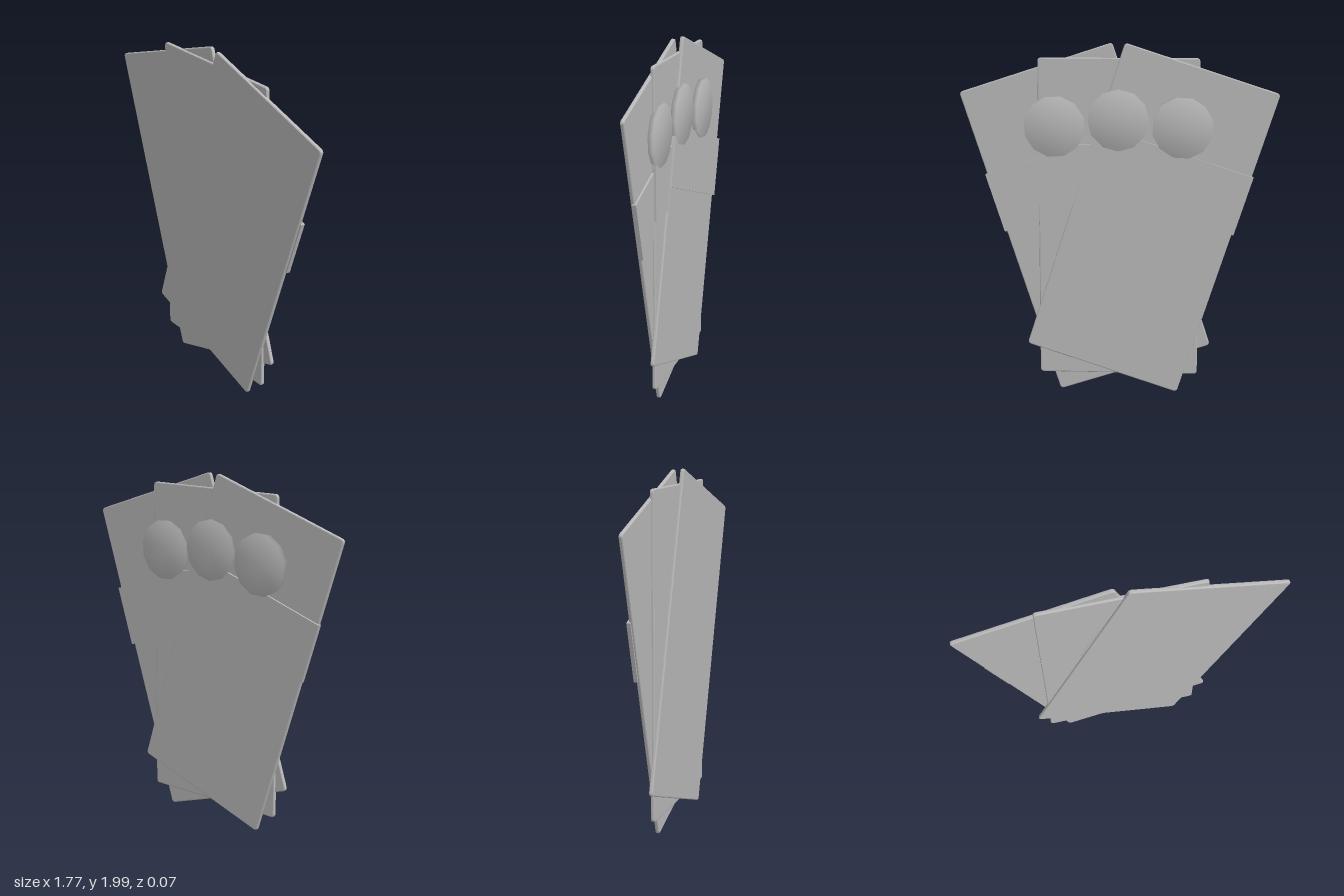
import * as THREE from 'three';
import { mergeVertices } from 'three/addons/utils/BufferGeometryUtils.js';

const grey = new THREE.MeshStandardMaterial({ color: 0xb8b8b8 });
grey.name = 'plain grey';

// Thin slab with rounded corners and a small bevel, centred on the origin
function slabGeometry(width, height, depth, radius, bevel) {
  const w = width / 2 - bevel, h = height / 2 - bevel, r = radius;
  const s = new THREE.Shape();
  s.moveTo(-w + r, -h);
  s.lineTo(w - r, -h);
  s.quadraticCurveTo(w, -h, w, -h + r);
  s.lineTo(w, h - r);
  s.quadraticCurveTo(w, h, w - r, h);
  s.lineTo(-w + r, h);
  s.quadraticCurveTo(-w, h, -w, h - r);
  s.lineTo(-w, -h + r);
  s.quadraticCurveTo(-w, -h, -w + r, -h);
  const g = new THREE.ExtrudeGeometry(s, {
    depth: depth - 2 * bevel, bevelEnabled: true, bevelThickness: bevel,
    bevelSize: bevel, bevelSegments: 2, curveSegments: 4,
  });
  g.center();
  return g;
}

// Low disc whose rim and caps share normals, so it shades like a dome
function discGeometry(radius, depth, sides) {
  let g = new THREE.CylinderGeometry(radius, radius, depth, sides);
  g.rotateX(Math.PI / 2);
  g.deleteAttribute('normal');
  g.deleteAttribute('uv');
  g = mergeVertices(g);
  g.computeVertexNormals();
  return g;
}

export function createModel() {
  const model = new THREE.Group();
  model.name = 'cardFan';

  const cardGeo = slabGeometry(0.9, 1.805, 0.022, 0.014, 0.006);
  const bandGeo = new THREE.BoxGeometry(0.92, 0.345, 0.022);
  const discGeo = discGeometry(0.172, 0.039, 12);

  const add = (group, name, geometry, y, z) => {
    const mesh = new THREE.Mesh(geometry, grey);
    mesh.name = name;
    mesh.position.set(0, y, z);
    group.add(mesh);
  };

  // Three fanned cards, each with a band and a round button on its back
  for (const [name, i] of [['rightCard', -1], ['middleCard', 0], ['leftCard', 1]]) {
    const card = new THREE.Group();
    card.name = name;
    add(card, 'cardPanel', cardGeo, 0, 0);
    add(card, 'backBand', bandGeo, 0.248, -0.0108);
    add(card, 'backButton', discGeo, 0.56, -0.0195);
    card.position.set(0.185 * i, i ? 1.004 : 1.015, 0.0135 + 0.0122 * i);
    card.rotation.z = -i * Math.PI / 10;
    model.add(card);
  }
  return model;
}
